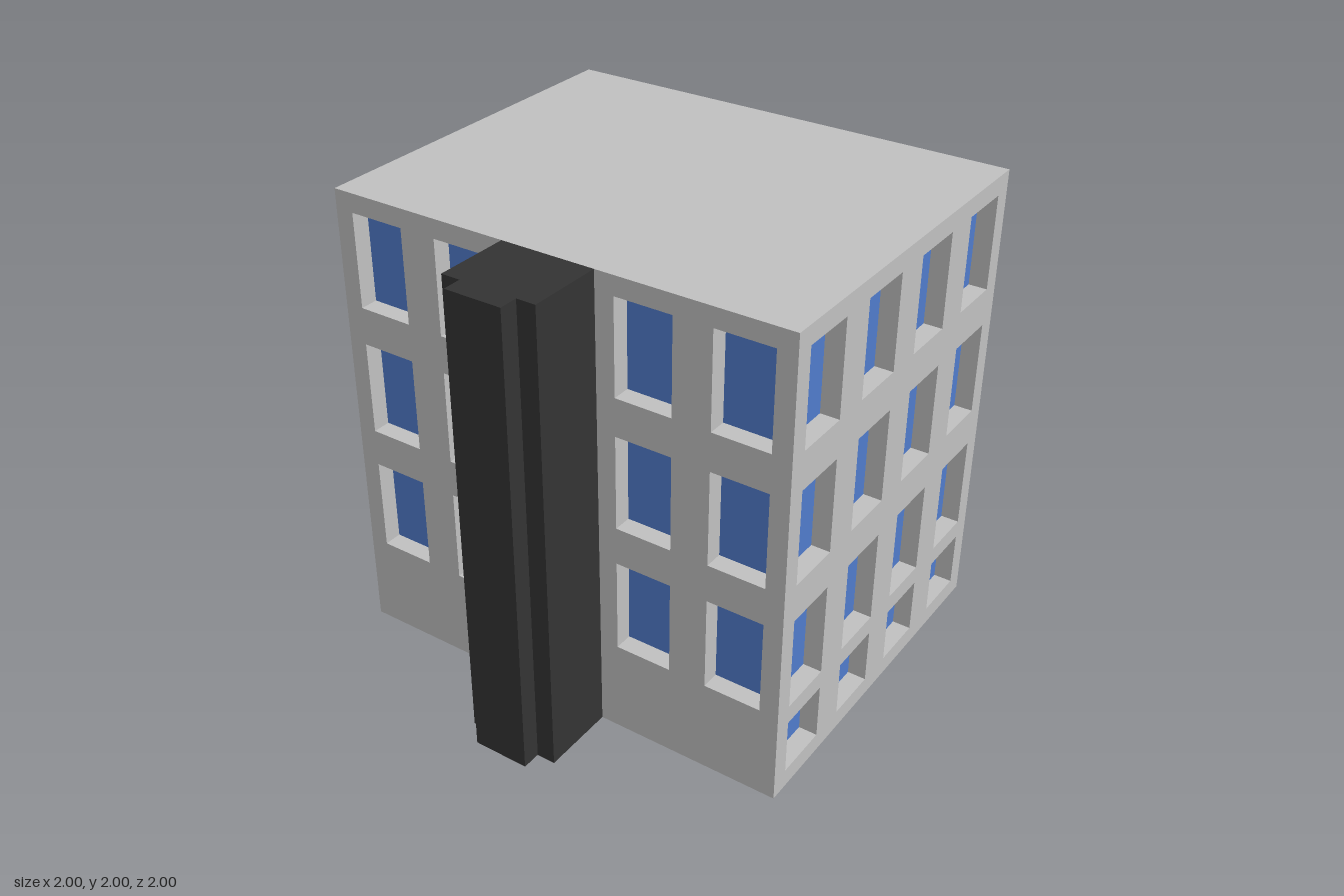
import * as THREE from 'three';

const DEPTH = 0.08; // window recess
const WIN_W = 0.24;

// Window rows: [bottom, height]
const UPPER_ROWS = [[0.4, 0.4], [0.96, 0.4], [1.52, 0.4]];
const ALL_ROWS = [[0.08, 0.24], ...UPPER_ROWS];

function rect(Type, x, y, w, h) {
  const p = new Type();
  p.moveTo(x, y);
  p.lineTo(x + w, y);
  p.lineTo(x + w, y + h);
  p.lineTo(x, y + h);
  p.closePath();
  return p;
}

export function createModel() {
  const wallMat = new THREE.MeshStandardMaterial({ name: 'wallGrey', color: 0xc0c0c0 });
  const glassMat = new THREE.MeshStandardMaterial({ name: 'windowBlue', color: 0x507bcb });
  const towerMat = new THREE.MeshStandardMaterial({ name: 'towerBlack', color: 0x333333 });
  const model = new THREE.Group();
  model.name = 'apartmentBlock';

  function box(name, material, [x0, x1], [y0, y1], [z0, z1]) {
    const mesh = new THREE.Mesh(new THREE.BoxGeometry(x1 - x0, y1 - y0, z1 - z0), material);
    mesh.position.set((x0 + x1) / 2, (y0 + y1) / 2, (z0 + z1) / 2);
    mesh.name = name;
    model.add(mesh);
  }

  // One side of the building: its local +z points outwards, at the given distance
  function facade({ name, turn, distance, span, columns, rows, recessed }) {
    const side = new THREE.Group();
    side.name = name;
    side.rotation.y = turn;
    const outline = rect(THREE.Shape, span[0], 0, span[1] - span[0], 2);
    for (const x of columns) {
      for (const [y, h] of rows) {
        outline.holes.push(rect(THREE.Path, x - WIN_W / 2, y, WIN_W, h));
        const pane = new THREE.Mesh(new THREE.PlaneGeometry(WIN_W, h), glassMat);
        pane.name = 'windowPane';
        pane.position.set(x, y + h / 2, distance + 0.002 - (recessed ? DEPTH : 0));
        side.add(pane);
      }
    }
    if (recessed) {
      const geometry = new THREE.ExtrudeGeometry(outline, { depth: DEPTH, bevelEnabled: false });
      const wall = new THREE.Mesh(geometry, wallMat);
      wall.name = 'wallWithOpenings';
      wall.position.z = distance - DEPTH;
      side.add(wall);
    }
    model.add(side);
  }

  // Solid body behind the two recessed walls
  box('buildingCore', wallMat, [-1, 1 - DEPTH], [0, 2], [-1, 0.6 - DEPTH]);

  const pairs = [-0.8, -0.4, 0.4, 0.8];
  facade({ name: 'frontFacade', turn: 0, distance: 0.6, span: [-1, 1],
    columns: pairs, rows: UPPER_ROWS, recessed: true });
  facade({ name: 'leftFacade', turn: Math.PI / 2, distance: 1, span: [-0.6, 1],
    columns: [-0.4, 0, 0.4, 0.8], rows: ALL_ROWS, recessed: true });
  facade({ name: 'backFacade', turn: Math.PI, distance: 1, span: [-1, 1],
    columns: pairs, rows: UPPER_ROWS, recessed: false });
  facade({ name: 'rightFacade', turn: -Math.PI / 2, distance: 1, span: [-1, 0.6],
    columns: [-0.8, -0.4, 0, 0.4], rows: ALL_ROWS, recessed: false });

  // Stepped stair tower on the front
  box('stairTower', towerMat, [-0.2, 0.2], [0, 2], [0.6, 0.92]);
  box('stairTowerFront', towerMat, [-0.12, 0.12], [0, 2], [0.92, 1]);

  return model;
}
